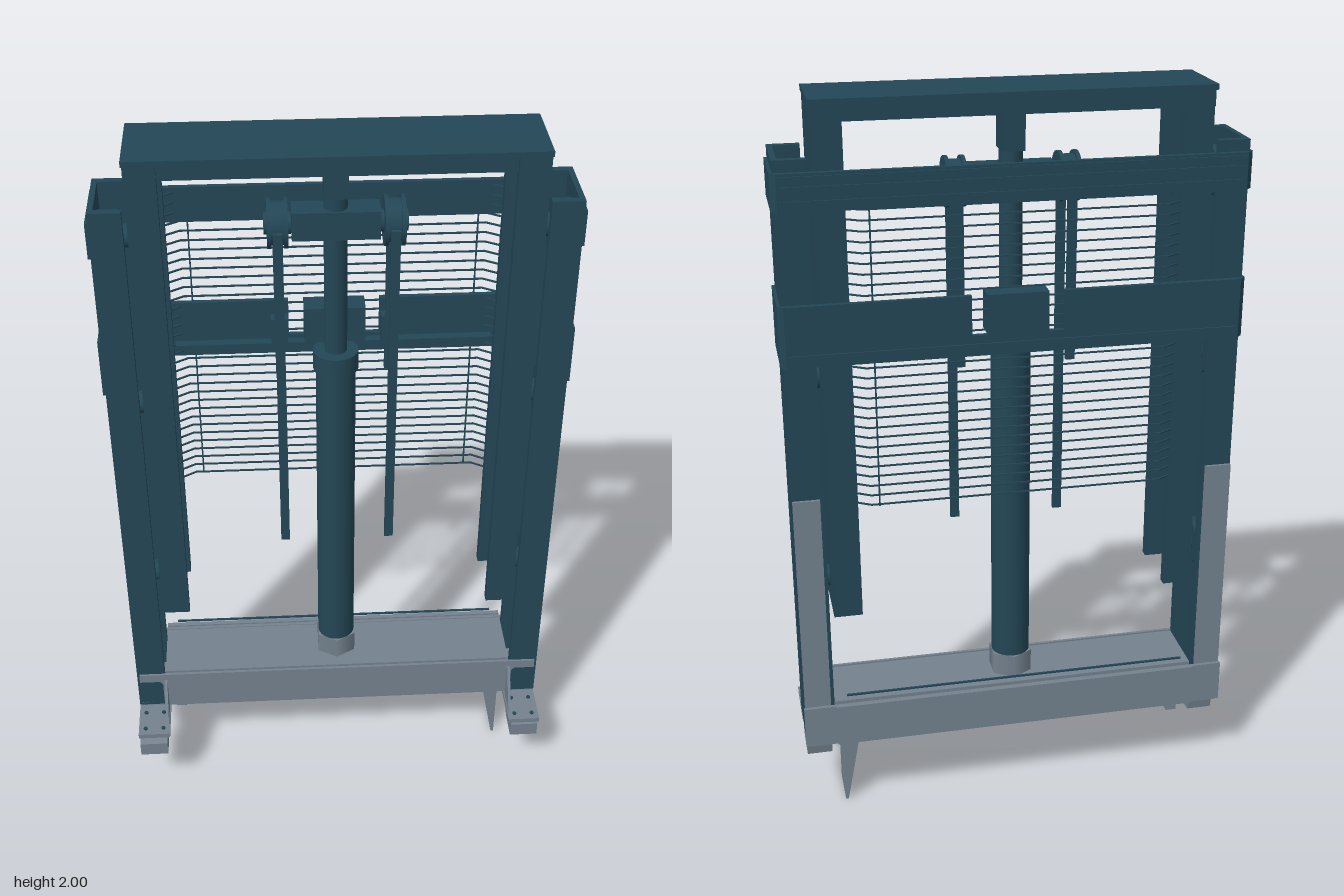
import * as THREE from 'three';

export function createModel() {
  const model = new THREE.Group();
  const steel = new THREE.MeshStandardMaterial({ color: 0x234655 });
  steel.name = 'dark teal steel';
  const grey = new THREE.MeshStandardMaterial({ color: 0x74828e });
  grey.name = 'grey steel';

  const add = (name, geo, mat = steel) => {
    const mesh = new THREE.Mesh(geo, mat);
    mesh.name = name;
    model.add(mesh);
    return mesh;
  };
  // box given by its limits on each axis
  const box = (name, x0, x1, y0, y1, z0, z1, mat) => {
    const mesh = add(name, new THREE.BoxGeometry(Math.abs(x1 - x0), y1 - y0, z1 - z0), mat);
    mesh.position.set((x0 + x1) / 2, (y0 + y1) / 2, (z0 + z1) / 2);
    return mesh;
  };
  // [x, z] outline extruded from y0 to y1
  const column = (name, pts, y0, y1, mat) => {
    const shape = new THREE.Shape(pts.map(([x, z]) => new THREE.Vector2(x, -z)));
    const geo = new THREE.ExtrudeGeometry(shape, { depth: y1 - y0, bevelEnabled: false });
    add(name, geo.rotateX(-Math.PI / 2), mat).position.y = y0;
  };
  // [z, y] outline extruded across x, centred on x
  const slab = (name, pts, x, width, mat) => {
    const shape = new THREE.Shape(pts.map(([z, y]) => new THREE.Vector2(-z, y)));
    const geo = new THREE.ExtrudeGeometry(shape, { depth: width, bevelEnabled: false });
    add(name, geo.translate(0, 0, -width / 2).rotateY(Math.PI / 2), mat).position.x = x;
  };
  const cylinder = (name, r, y0, y1, z, mat, sides = 32) => {
    add(name, new THREE.CylinderGeometry(r, r, y1 - y0, sides), mat).position.set(0, (y0 + y1) / 2, z);
  };
  // wheel with its axis along x
  const wheel = (name, r, x0, x1, y, z) => {
    const geo = new THREE.CylinderGeometry(r, r, Math.abs(x1 - x0), 32).rotateZ(Math.PI / 2);
    add(name, geo).position.set((x0 + x1) / 2, y, z);
  };

  // channel section opening towards the middle
  const channel = (s, xi, xo, zb, zf, t) => [
    [s * xi, zf], [s * xo, zf], [s * xo, zb], [s * xi, zb],
    [s * xi, zb + t], [s * (xo - t * 0.7), zb + t], [s * (xo - t * 0.7), zf - t], [s * xi, zf - t],
  ];

  const zc = -0.065; // depth of the lift cylinder

  for (const s of [1, -1]) {
    // mast rails and rollers
    column('outerMastRail', channel(s, 0.515, 0.597, -0.15, 0.04, 0.02), 0.225, 1.86);
    column('innerMastRail', channel(s, 0.425, 0.502, -0.14, 0.06, 0.024), 0.61, 1.986);
    for (const y of [0.69, 1.27, 1.76]) {
      wheel('mastRoller', 0.065, s * 0.53, s * 0.58, y, -0.04);
      wheel('rollerAxle', 0.03, s * 0.49, s * 0.585, y, -0.04);
    }
    box('rearRailPlate', s * 0.525, s * 0.597, 0.34, 0.97, -0.158, -0.15, grey);

    // pulleys and lift chains
    const x = s * 0.145;
    wheel('chainPulley', 0.055, x - 0.016, x + 0.016, 1.77, zc);
    for (const d of [-0.021, 0.021]) wheel('pulleyFlange', 0.064, x + d - 0.005, x + d + 0.005, 1.77, zc);
    wheel('pulleyHub', 0.028, x - 0.034, x + 0.034, 1.77, zc);
    box('frontChain', x - 0.012, x + 0.012, 0.815, 1.77, zc + 0.054, zc + 0.066);
    box('rearChain', x - 0.012, x + 0.012, 1.3, 1.77, zc - 0.066, zc - 0.054);
    box('chainAnchor', x - 0.022, x + 0.022, 1.38, 1.46, -0.15, -0.12);
  }

  // top cross member of the inner mast, open underneath
  box('topPlate', -0.505, 0.505, 1.986, 2, -0.155, 0.062);
  box('topFrontPlate', -0.43, 0.43, 1.945, 1.986, 0.035, 0.05);
  box('topRearPlate', -0.5, 0.5, 1.945, 1.986, -0.15, -0.138);
  box('rodTopBlock', -0.03, 0.03, 1.845, 1.986, zc - 0.035, zc + 0.035);

  // straps wrapping the outer mast from behind
  const strap = [
    [-0.605, 0.032], [-0.605, -0.148], [-0.59, -0.164], [0.59, -0.164], [0.605, -0.148], [0.605, 0.032],
    [0.597, 0.032], [0.597, -0.15], [-0.597, -0.15], [-0.597, 0.032],
  ];
  const halfStrap = (s) => [
    [s * 0.12, -0.15], [s * 0.597, -0.15], [s * 0.597, 0.032], [s * 0.605, 0.032],
    [s * 0.605, -0.148], [s * 0.59, -0.164], [s * 0.12, -0.164],
  ];
  column('upperCrossStrap', strap, 1.735, 1.83);
  column('lowerCrossStrap', strap, 1.34, 1.395);
  for (const s of [1, -1]) column('lowerCrossStrapSide', halfStrap(s), 1.395, 1.5);
  box('cylinderBracket', -0.08, 0.08, 1.395, 1.5, -0.164, -0.1);
  box('lowerStrapLedge', -0.42, 0.42, 1.372, 1.385, -0.15, -0.125);
  for (const y of [1.365, 1.755, 1.79, 1.815]) box('strapRib', -0.585, 0.585, y, y + 0.008, -0.168, -0.164);

  // wire guard with the ends of each wire bent forward
  for (let i = 0; i < 33; i++) {
    const y = 0.945 + i * 0.0272;
    box('guardWire', -0.39, 0.39, y - 0.002, y + 0.002, -0.16, -0.156);
    for (const s of [1, -1]) {
      const end = box('guardWireEnd', -0.03, 0.03, y - 0.002, y + 0.002, -0.002, 0.002);
      end.position.set(s * 0.414, y, -0.144);
      end.rotation.y = -s * 0.55;
    }
  }
  for (const s of [1, -1]) box('guardUpright', s * 0.372, s * 0.368, 0.942, 1.83, -0.164, -0.16);
  box('lowerGuardWire', -0.48, 0.48, 0.372, 0.377, -0.165, -0.16);

  // lift cylinder
  cylinder('cylinderBarrel', 0.053, 0.4, 1.4, zc);
  cylinder('cylinderCollar', 0.06, 1.345, 1.4, zc);
  cylinder('pistonRod', 0.03, 1.4, 1.85, zc);
  cylinder('cylinderFoot', 0.062, 0.35, 0.415, zc, grey, 6);
  box('crosshead', -0.11, 0.11, 1.735, 1.81, zc - 0.035, zc + 0.035);

  // base beam with a front plate notched around the rails
  box('baseBeam', -0.512, 0.512, 0.235, 0.35, -0.15, 0.03, grey);
  box('baseBottomPlate', -0.59, 0.59, 0.222, 0.235, -0.165, 0.04, grey);
  box('baseRearPlate', -0.6, 0.6, 0.225, 0.345, -0.168, -0.158, grey);
  box('baseRearLip', -0.512, 0.512, 0.23, 0.35, -0.182, -0.168, grey);
  const front = new THREE.Shape([
    [-0.522, 0.225], [0.522, 0.225], [0.522, 0.312], [0.53, 0.322], [0.59, 0.322], [0.59, 0.35],
    [-0.59, 0.35], [-0.59, 0.322], [-0.53, 0.322], [-0.522, 0.312],
  ].map(([x, y]) => new THREE.Vector2(x, y)));
  add('baseFrontPlate', new THREE.ExtrudeGeometry(front, { depth: 0.008, bevelEnabled: false }), grey).position.z = 0.038;

  // mounting feet
  for (const s of [1, -1]) {
    const reach = s > 0 ? 0.158 : 0.175;
    box('footPlate', s * 0.505, s * 0.597, 0.203, 0.218, 0, 0.158, grey);
    slab('footGusset', [[0.046, 0.218], [0.13, 0.218], [0.055, 0.33], [0.046, 0.33]], s * 0.512, 0.008, grey);
    slab('footClamp', [[0.055, 0.203], [0.055, 0.165], [0.08, 0.152], [reach, 0.152], [reach, 0.195], [0.15, 0.203]],
      s * 0.553, 0.08, grey);
    slab('rearClamp', [[0, 0.222], [0, 0.175], [-0.03, 0.162], [-0.12, 0.168], [-0.13, 0.222]], s * 0.56, 0.07, grey);
    for (const bx of [0.525, 0.577]) {
      for (const bz of [0.07, 0.135]) {
        const bolt = add('footBolt', new THREE.CylinderGeometry(0.006, 0.006, 0.006, 8), steel);
        bolt.position.set(s * bx, 0.219, bz);
      }
    }
  }
  box('stubLug', -0.492, -0.462, 0.165, 0.222, -0.11, -0.01, grey);

  // tapering lug on one side
  const lug = new THREE.Shape([[0.445, 0.222], [0.486, 0.005], [0.494, 0.005], [0.494, 0.222]]
    .map(([x, y]) => new THREE.Vector2(x, y)));
  add('taperedLug', new THREE.ExtrudeGeometry(lug, { depth: 0.115, bevelEnabled: false }), grey)
    .position.set(0, -0.005, -0.12);

  // column and slab outlines may run either way round, so wind them outwards by shape rules
  return model;
}
